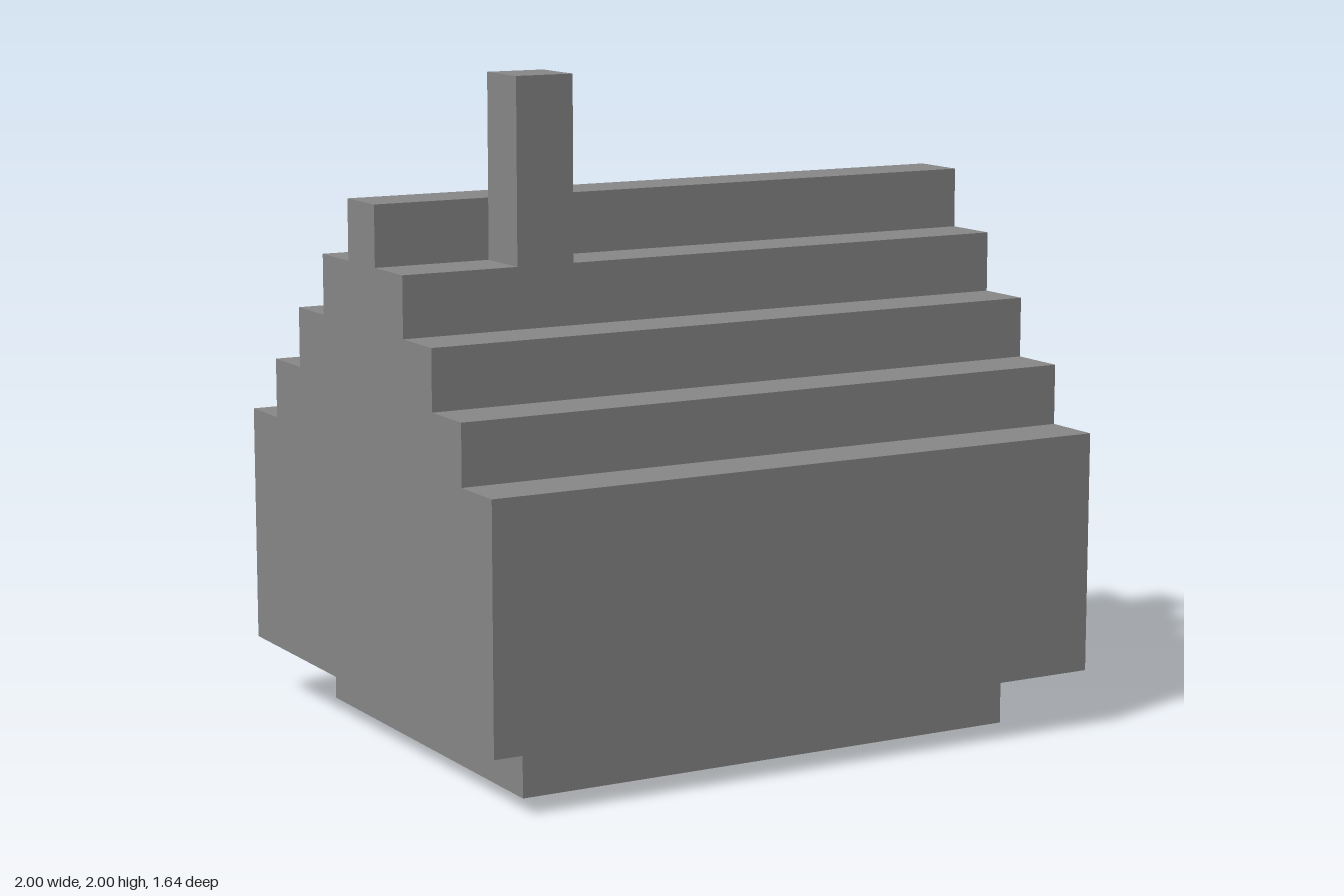
import * as THREE from 'three';

// One grid unit: the model is 11 units long and 11 units tall
const U = 2 / 11;

export function createModel() {
  const model = new THREE.Group();
  model.name = 'steppedHouse';

  const stone = new THREE.MeshStandardMaterial({ color: 0x888888 });
  stone.name = 'grey stone';

  const add = (name, geometry, x = 0, y = 0, z = 0) => {
    const mesh = new THREE.Mesh(geometry, stone);
    mesh.name = name;
    mesh.position.set(x * U, y * U, z * U);
    model.add(mesh);
  };
  const box = (w, h, d) => new THREE.BoxGeometry(w * U, h * U, d * U);

  // Recessed foundation
  add('foundation', box(9, 1, 7), 0, 0.5, 0);

  // Walls and stepped gable roof: one profile swept along x
  const half = [[4.5, 1], [4.5, 5]];
  for (let i = 0; i < 4; i++) {
    half.push([3.5 - i, 5 + i], [3.5 - i, 6 + i]);
  }
  const mirrored = half.map(([z, y]) => [-z, y]).reverse();
  const profile = new THREE.Shape(
    [...half, ...mirrored].map(([z, y]) => new THREE.Vector2(z * U, y * U))
  );
  const house = new THREE.ExtrudeGeometry(profile, { depth: 11 * U, bevelEnabled: false });
  house.translate(0, 0, -5.5 * U);
  house.rotateY(Math.PI / 2);
  add('wallsAndSteppedRoof', house);

  // Chimney standing on the upper front step
  add('chimney', box(1, 3, 1), -3, 9.5, 1);

  return model;
}
